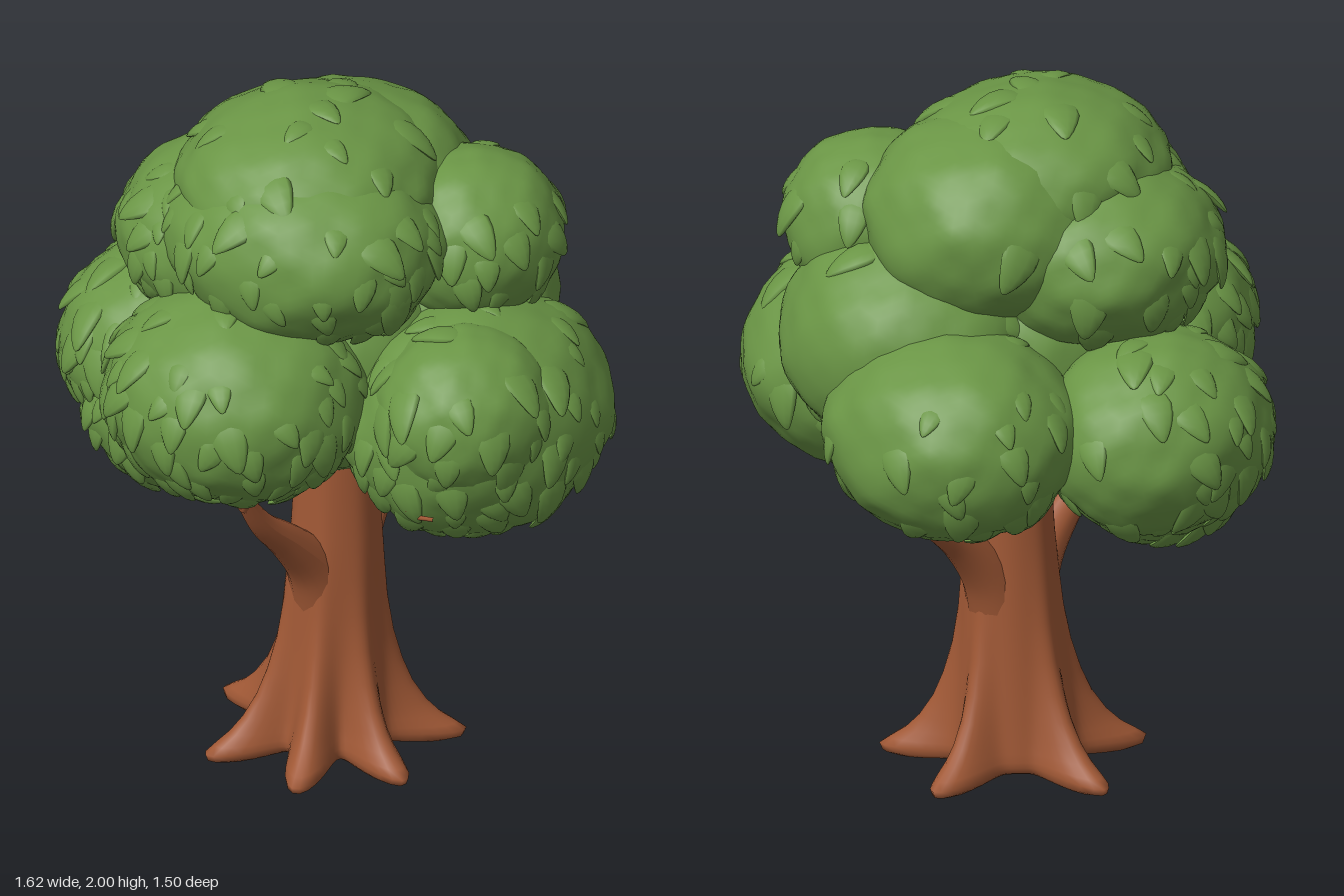
import * as THREE from 'three';
import { mergeGeometries, mergeVertices } from 'three/addons/utils/BufferGeometryUtils.js';

const leafGreen = new THREE.MeshStandardMaterial({ name: 'leafGreen', color: 0x6a9545 });
const barkBrown = new THREE.MeshStandardMaterial({ name: 'barkBrown', color: 0xa05835 });
const V = (x, y, z) => new THREE.Vector3(x, y, z);

let seed = 7;
const rand = () => {
  seed = (seed * 16807) % 2147483647;
  return seed / 2147483647;
};

// Foliage clumps: name, centre, radii, number of leaf tries
const clumps = [
  ['frontClump', V(-0.02, 1.235, 0.39), V(0.37, 0.3, 0.35), 150],
  ['leftClump', V(0.45, 1.13, -0.09), V(0.35, 0.33, 0.41), 150],
  ['leftFrontClump', V(0.53, 1.22, 0.07), V(0.25, 0.24, 0.26), 60],
  ['rightClump', V(-0.5, 1.12, 0.06), V(0.3, 0.28, 0.34), 150],
  ['rightLowClump', V(-0.38, 0.99, 0.16), V(0.29, 0.24, 0.27), 100],
  ['backClump', V(-0.17, 1.15, -0.4), V(0.37, 0.29, 0.345), 90],
  ['backUpperClump', V(0.13, 1.31, -0.28), V(0.37, 0.33, 0.35), 30],
  ['coreClump', V(0, 1.24, 0), V(0.36, 0.36, 0.36), 0],
  ['crownSideClump', V(0.33, 1.59, -0.22), V(0.25, 0.24, 0.26), 60],
  ['crownRightClump', V(-0.22, 1.57, 0.11), V(0.34, 0.26, 0.35), 110],
  ['crownFrontClump', V(0.03, 1.64, 0.15), V(0.41, 0.28, 0.365), 130],
  ['crownBackClump', V(-0.01, 1.66, -0.11), V(0.35, 0.29, 0.35), 50],
  ['crownTopClump', V(-0.02, 1.76, 0.06), V(0.36, 0.235, 0.38), 90],
];

// Soft lumps on the clump surfaces
const lump = (d, k) => 1
  + 0.03 * Math.sin(5 * d.x + k) * Math.sin(6 * d.y + 2 * k) * Math.cos(5 * d.z - k)
  + 0.015 * Math.sin(13 * d.x + 3 * k) * Math.sin(12 * d.y + k) * Math.sin(13 * d.z);

function clumpGeometry(radii, k) {
  let g = new THREE.IcosahedronGeometry(1, 12);
  g.deleteAttribute('uv');
  g.deleteAttribute('normal');
  g = mergeVertices(g, 1e-4);
  const p = g.attributes.position, d = V(0, 0, 0);
  for (let i = 0; i < p.count; i++) {
    d.fromBufferAttribute(p, i).normalize();
    const s = lump(d, k);
    p.setXYZ(i, d.x * radii.x * s, d.y * radii.y * s, d.z * radii.z * s);
  }
  g.computeVertexNormals();
  return g;
}

// Broad rounded leaf, tip towards -y, upper face towards +z
function leafGeometry() {
  const g = new THREE.SphereGeometry(1, 10, 8);
  const p = g.attributes.position;
  for (let i = 0; i < p.count; i++) {
    const y = p.getY(i), taper = 0.82 + 0.35 * y;
    p.setXYZ(i, p.getX(i) * taper * 0.058, y * 0.085, p.getZ(i) * 0.014 - 0.014 * y * y);
  }
  g.computeVertexNormals();
  return g;
}

const buried = (point, self) => clumps.some(([, c, r], i) =>
  i !== self && point.clone().sub(c).divide(r).length() < 0.98);

// Leaves grow from the exposed surface with lifted tips; fewer at the back and on top
function leavesFor(index, leaf) {
  const [, centre, radii, tries] = clumps[index];
  const parts = [];
  for (let i = 0; i < tries; i++) {
    const y = 1 - 2 * (i + 0.5) / tries, a = i * 2.39996 + rand() * 0.3;
    const q = Math.sqrt(1 - y * y);
    const d = V(q * Math.cos(a), y, q * Math.sin(a));
    const chance = rand(), scale = 0.6 + 0.5 * rand(), twist = (rand() - 0.5) * 1.1;
    if (chance > (d.z < -0.35 ? 0.3 : 0.85) || (y > 0.55 && chance > 0.3)) continue;
    const pos = d.clone().multiply(radii).multiplyScalar(lump(d, index) * 0.99).add(centre);
    if (buried(pos, index)) continue;
    const n = d.clone().divide(radii).normalize();
    const up = V(-n.x * 0.2, 1, -n.z * 0.2);
    up.addScaledVector(n, -up.dot(n)).normalize();
    const m = new THREE.Matrix4().makeBasis(up.clone().cross(n), up, n);
    m.multiply(new THREE.Matrix4().makeRotationZ(twist));
    m.multiply(new THREE.Matrix4().makeRotationX(y > 0.55 ? -0.08 : -0.24));
    m.scale(V(scale, scale, scale)).setPosition(pos);
    parts.push(leaf.clone().applyMatrix4(m));
  }
  return parts.length ? mergeGeometries(parts) : null;
}

// Trunk rings: height, radius in the valleys, radius along the roots
const rings = [
  [0.02, 0, 0], [0.008, 0.11, 0.22], [0, 0.15, 0.33], [0.01, 0.165, 0.37], [0.03, 0.172, 0.378],
  [0.05, 0.173, 0.35], [0.08, 0.171, 0.305], [0.12, 0.167, 0.265], [0.18, 0.161, 0.225],
  [0.25, 0.154, 0.195], [0.34, 0.146, 0.168], [0.45, 0.138, 0.148], [0.56, 0.131, 0.137],
  [0.68, 0.124, 0.127], [0.82, 0.116, 0.118], [0.95, 0.112, 0.113], [1.2, 0.1, 0.1],
];
const rootAngles = [24, 72, 128, 190, 268, 334].map(THREE.MathUtils.degToRad);

// 1 along a root, falling to 0 between roots
const rootLobe = (t) => Math.min(1, rootAngles.reduce((sum, a) => {
  const off = Math.atan2(Math.sin(t - a), Math.cos(t - a));
  return sum + Math.exp(-((off / 0.24) ** 2));
}, 0));

function trunkGeometry() {
  const cols = 112, pos = [], index = [];
  rings.forEach(([y, valley, root], i) => {
    for (let j = 0; j < cols; j++) {
      const t = j / cols * Math.PI * 2, lobe = rootLobe(t);
      const r = valley + (root - valley) * lobe;
      const lift = 0.02 * (1 - lobe) * Math.max(0, 1 - y / 0.12);
      pos.push(Math.sin(t) * r + 0.025 * Math.min(1, y * 1.5), y + lift, Math.cos(t) * r);
      if (i === rings.length - 1) continue;
      const a = i * cols + j, b = i * cols + (j + 1) % cols;
      index.push(a, b, a + cols, b, b + cols, a + cols);
    }
  });
  const g = new THREE.BufferGeometry();
  g.setAttribute('position', new THREE.Float32BufferAttribute(pos, 3));
  g.setIndex(index);
  g.computeVertexNormals();
  return g;
}

// Tube that narrows from r0 to r1 along a smooth path
function taperedTube(points, r0, r1) {
  const curve = new THREE.CatmullRomCurve3(points), n = 24, sides = 16;
  const g = new THREE.TubeGeometry(curve, n, 1, sides);
  const p = g.attributes.position, v = V(0, 0, 0);
  for (let i = 0; i < p.count; i++) {
    const t = Math.floor(i / (sides + 1)) / n, c = curve.getPointAt(t);
    const r = r1 + (r0 - r1) * Math.pow(1 - t, 1.5);
    v.fromBufferAttribute(p, i).sub(c).multiplyScalar(r).add(c);
    p.setXYZ(i, v.x, v.y, v.z);
  }
  g.computeVertexNormals();
  return g;
}

export function createModel() {
  seed = 7;
  const tree = new THREE.Group();
  tree.name = 'tree';
  const add = (name, geometry, material) => {
    const mesh = new THREE.Mesh(geometry, material);
    mesh.name = name;
    tree.add(mesh);
    return mesh;
  };

  add('trunk', trunkGeometry(), barkBrown);

  // Main branches sweep out of the trunk to the front and back
  add('frontBranch', taperedTube(
    [V(0.02, 0.42, 0.03), V(0.02, 0.58, 0.1), V(0.02, 0.7, 0.21), V(0.02, 0.81, 0.33), V(0.02, 1.02, 0.47)],
    0.1, 0.018), barkBrown);
  add('backBranch', taperedTube(
    [V(0.01, 0.42, -0.03), V(0.01, 0.58, -0.1), V(0.01, 0.7, -0.2), V(0, 0.79, -0.31), V(-0.02, 0.95, -0.46)],
    0.1, 0.022), barkBrown);

  // Thin twigs forking into the foliage
  for (const s of [-1, 1]) {
    add('frontTwig', taperedTube(
      [V(0.02, 0.88, 0.4), V(0.02 + s * 0.03, 0.93, 0.42), V(0.02 + s * 0.07, 1, 0.45)], 0.014, 0.007), barkBrown);
    add('sideTwig', taperedTube(
      [V(0.42, 0.87, 0.12), V(0.5, 0.95, 0.25), V(0.55 + s * 0.05, 0.99, 0.29)], 0.012, 0.006), barkBrown);
  }

  // Foliage
  const leaf = leafGeometry();
  clumps.forEach(([name, centre, radii], i) => {
    add(name, clumpGeometry(radii, i), leafGreen).position.copy(centre);
    const leaves = leavesFor(i, leaf);
    if (leaves) add(name + 'Leaves', leaves, leafGreen);
  });
  return tree;
}
